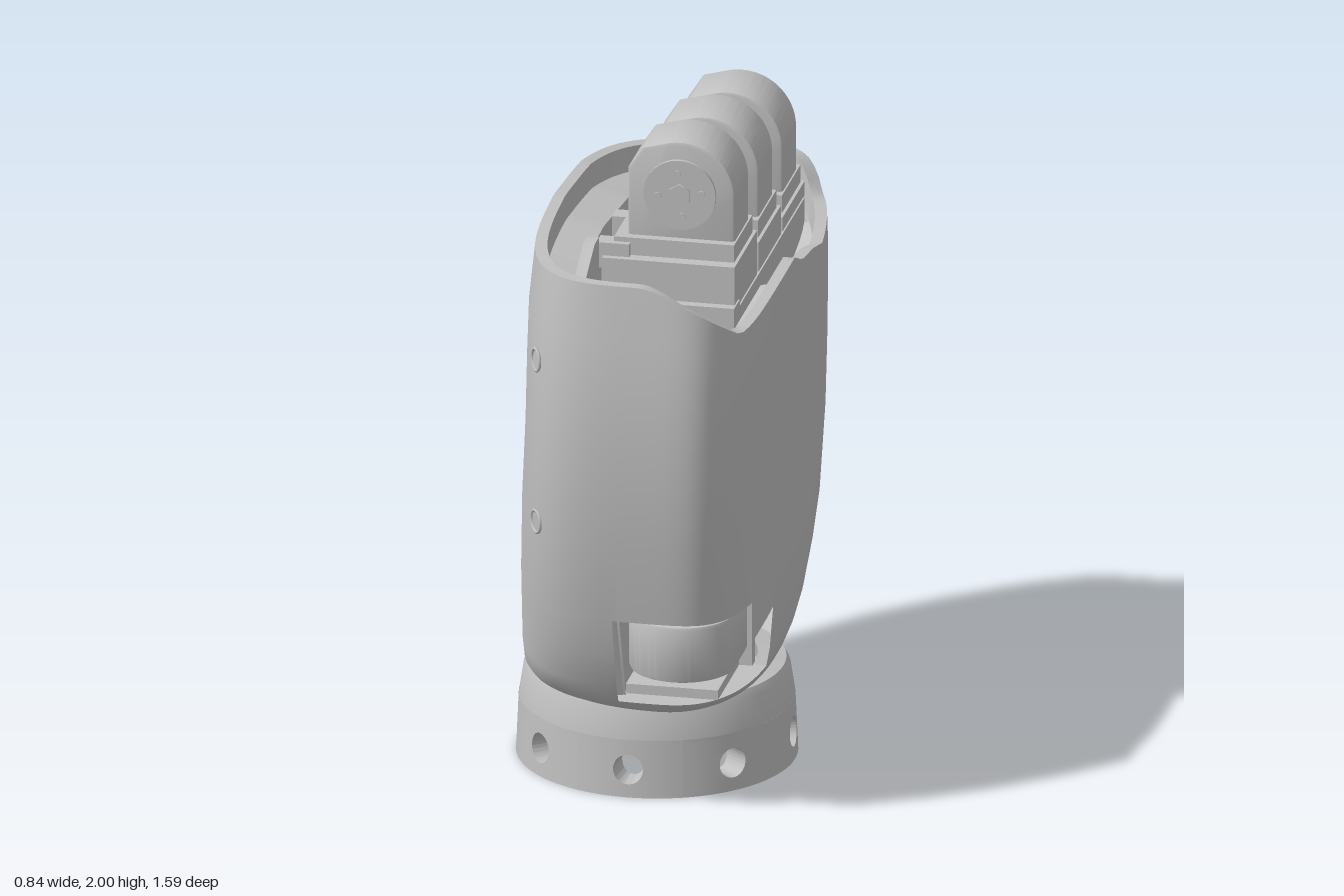
import * as THREE from 'three';
import { toCreasedNormals } from 'three/addons/utils/BufferGeometryUtils.js';

const COLS = 120;
const CUT = [6, 34]; // columns of the thumb opening
const grey = new THREE.MeshStandardMaterial({ color: 0xc0c0c0, side: THREE.DoubleSide });
grey.name = 'plain grey';

// y, zMin, zMax, xMin, xMax, roundness of back, roundness of palm
const SECTIONS = [
  [0.28, -0.33, 0.44, -0.30, 0.31, 2.0, 2.0],
  [0.30, -0.41, 0.53, -0.35, 0.345, 2.2, 2.2],
  [0.33, -0.465, 0.59, -0.37, 0.365, 2.4, 2.5],
  [0.36, -0.505, 0.625, -0.378, 0.375, 2.6, 2.8],
  [0.42, -0.56, 0.665, -0.384, 0.386, 2.9, 3.1],
  [0.54, -0.635, 0.71, -0.387, 0.395, 3.3, 3.6],
  [0.66, -0.69, 0.742, -0.386, 0.40, 3.6, 4.0],
  [0.90, -0.757, 0.78, -0.38, 0.40, 3.9, 4.4],
  [1.15, -0.788, 0.797, -0.365, 0.40, 4.0, 4.5],
  [1.40, -0.792, 0.79, -0.342, 0.40, 3.9, 4.5],
  [1.60, -0.778, 0.765, -0.325, 0.395, 3.7, 4.5],
  [1.80, -0.74, 0.735, -0.30, 0.38, 3.5, 4.5],
];

// Linear lookup in rows sorted by their first number
function lookup(table, t) {
  let i = 1;
  while (i < table.length - 1 && t > table[i][0]) i++;
  const a = table[i - 1], b = table[i];
  const k = THREE.MathUtils.clamp((t - a[0]) / (b[0] - a[0]), 0, 1);
  return a.map((v, j) => v + (b[j] - v) * k);
}

// Point on a rounded outline; the two halves have their own width and roundness
function outline(y, a, x0, zMin, zMax, xMin, xMax, nBack, nPalm) {
  const c = Math.cos(a), s = Math.sin(a), n = c < 0 ? nBack : nPalm;
  const r = 1 / Math.pow(Math.abs(c) ** n + Math.abs(s) ** n, 1 / n);
  const w = c < 0 ? x0 - xMin : xMax - x0;
  return [x0 + w * r * c, y, (zMin + zMax) / 2 + ((zMax - zMin) / 2) * r * s];
}

// Shell outline, with a soft bulge down the middle of the back
function outer(y, a, inset = 0) {
  const [, z0, z1, x0, x1, nb, np] = lookup(SECTIONS, y);
  const bulge = 0.055 * THREE.MathUtils.smoothstep(y, 0.28, 0.5) * (1 - THREE.MathUtils.smoothstep(y, 1.0, 1.75));
  const p = outline(y, a, 0.1, z0 + inset, z1 - inset, x0 + bulge + inset, x1 - inset, nb, np);
  if (p[0] < 0.1) {
    const across = (0.1 - p[0]) / (0.1 - x0 - bulge);
    p[0] -= bulge * across * Math.max(0, 1 - ((p[2] - 0.03) / 0.6) ** 2) ** 2;
  }
  return p;
}

function inner(y, a) {
  const [, z0, z1, , , , np] = lookup(SECTIONS, y);
  const n = Math.min(9, np * 2);
  return outline(y, a, 0.06, Math.max(-0.71, z0 + 0.07), Math.min(0.67, z1 - 0.06), -0.16, 0.29, 6, n);
}

// Height of the top rim: high on the back, low and stepped on the palm
const BACK = [[-0.78, 1.625], [-0.6, 1.66], [-0.3, 1.715], [0.1, 1.755], [0.4, 1.74], [0.75, 1.73]];
const PALM = [[-0.78, 1.63], [-0.7, 1.5], [-0.45, 1.45], [-0.3, 1.49], [-0.15, 1.51], [-0.05, 1.555],
  [0.3, 1.555], [0.6, 1.55], [0.75, 1.62]];
function rim(a) {
  const [x, , z] = outer(1.6, a);
  const k = THREE.MathUtils.smoothstep(x, 0.08, 0.39);
  return THREE.MathUtils.lerp(lookup(BACK, z)[1], lookup(PALM, z)[1], k);
}

// Closed skin over a stack of loops, leaving out some cells
function skin(rows, skip = () => false) {
  const pos = [], idx = [];
  rows.forEach(row => {
    for (let c = 0; c < COLS; c++) pos.push(...row((c / COLS) * Math.PI * 2));
  });
  for (let r = 0; r < rows.length - 1; r++) {
    for (let c = 0; c < COLS; c++) {
      if (skip(r, c)) continue;
      const d = (c + 1) % COLS, p = r * COLS, q = p + COLS;
      idx.push(p + c, q + c, p + d, q + c, q + d, p + d);
    }
  }
  const g = new THREE.BufferGeometry();
  g.setAttribute('position', new THREE.Float32BufferAttribute(pos, 3));
  g.setIndex(idx);
  return toCreasedNormals(g, 0.7);
}

function add(parent, name, geometry, x = 0, y = 0, z = 0) {
  const m = new THREE.Mesh(geometry, grey);
  m.name = name;
  m.position.set(x, y, z);
  parent.add(m);
  return m;
}

// Box given by its limits
function block(parent, name, x0, x1, y0, y1, z0, z1) {
  return add(parent, name, new THREE.BoxGeometry(x1 - x0, y1 - y0, z1 - z0),
    (x0 + x1) / 2, (y0 + y1) / 2, (z0 + z1) / 2);
}

function disc(parent, name, r, depth, x, y, z, sides = 32) {
  return add(parent, name, new THREE.CylinderGeometry(r, r, depth, sides).rotateX(Math.PI / 2), x, y, z);
}

function extrude(shape, depth, bevel) {
  return toCreasedNormals(new THREE.ExtrudeGeometry(shape, {
    depth, curveSegments: 24, bevelEnabled: bevel > 0, bevelSize: bevel, bevelThickness: bevel,
    bevelOffset: -bevel, bevelSegments: 2 }), 0.6);
}

// Upright plate across x, given by z, y corners
function sidePlate(parent, name, corners, x, depth) {
  const s = new THREE.Shape(corners.map(p => new THREE.Vector2(-p[0], p[1])));
  add(parent, name, extrude(s, depth, 0).rotateY(Math.PI / 2), x);
}

// Wrist ring: eight curved panels, each with a screw hole, and a collar above
function wrist() {
  const g = new THREE.Group();
  g.name = 'wristRing';
  const holeY = 0.087, holeR = 0.046, height = 0.18, half = Math.PI / 8;
  const corners = [[1, 0], [1, height], [-1, height], [-1, 0], [1, 0]];
  // Loop between the hole edge (k = 0) and the panel border (k = 1), on the outside or inside
  const loop = (turn, k, outside) => a => {
    const t = (a / Math.PI) * 2, i = Math.min(3, Math.floor(t)), f = t - i;
    const bx = THREE.MathUtils.lerp(corners[i][0], corners[i + 1][0], f) * half;
    const by = THREE.MathUtils.lerp(corners[i][1], corners[i + 1][1], f);
    const dir = Math.atan2(by - holeY, bx * 0.42);
    const ang = THREE.MathUtils.lerp((holeR / 0.42) * Math.cos(dir), bx, k) + turn;
    const y = THREE.MathUtils.lerp(holeY + holeR * Math.sin(dir), by, k);
    const r = outside ? 0.42 - 0.045 * y : 0.33;
    return [Math.sin(ang) * r, y, Math.cos(ang) * r];
  };
  for (let i = 0; i < 8; i++) {
    const turn = i * Math.PI / 4;
    const ks = [1, 0.75, 0.5, 0.25, 0];
    const rows = ks.map(k => loop(turn, k, true)).concat(ks.reverse().map(k => loop(turn, k, false)));
    add(g, 'wristPanel', skin(rows));
  }
  add(g, 'wristUnderside', new THREE.RingGeometry(0.33, 0.42, 64).rotateX(Math.PI / 2));
  const profile = [[0, 0.22], [0.33, 0.22], [0.33, 0.18], [0.412, 0.18], [0.398, 0.27], [0.385, 0.295], [0.3, 0.31]];
  add(g, 'wristCollar', toCreasedNormals(
    new THREE.LatheGeometry(profile.map(p => new THREE.Vector2(...p)), 64), 0.5));
  g.position.z = 0.06;
  return g;
}

// Finger joint: arched motor housing on a stepped foot
function finger() {
  const g = new THREE.Group();
  g.name = 'fingerJoint';
  const s = new THREE.Shape();
  s.moveTo(-0.16, -0.22);
  s.lineTo(0.165, -0.22);
  s.lineTo(0.165, 0);
  s.absarc(0, 0, 0.165, 0, Math.PI * 0.6, false);
  s.lineTo(-0.115, 0.14);
  s.lineTo(-0.16, 0.07);
  add(g, 'fingerHousing', extrude(s, 0.182, 0.01), 0.105, 1.835, 0.03);
  disc(g, 'fingerFlange', 0.11, 0.015, 0.105, 1.835, 0.226);
  disc(g, 'fingerNut', 0.036, 0.012, 0.105, 1.835, 0.235, 6);
  for (let i = 0; i < 4; i++) {
    const a = i * Math.PI / 2 + 0.1;
    disc(g, 'fingerScrew', 0.012, 0.008, 0.105 + 0.067 * Math.cos(a), 1.835 + 0.067 * Math.sin(a), 0.234, 12);
  }
  disc(g, 'fingerBackPlate', 0.085, 0.01, 0.105, 1.835, 0.016);
  disc(g, 'fingerPin', 0.034, 0.03, 0.105, 1.835, 0.005, 16);
  block(g, 'fingerFoot', -0.09, 0.275, 1.58, 1.695, -0.01, 0.25);
  block(g, 'fingerStep', -0.12, 0.285, 1.3, 1.64, -0.03, 0.29);
  for (const z of [0.02, 0.24]) block(g, 'fingerClip', -0.14, -0.04, 1.6, 1.68, z - 0.03, z + 0.03);
  return g;
}

export function createModel() {
  const hand = new THREE.Group();
  hand.name = 'roboticPalm';
  hand.add(wrist());

  // Outer shell with the thumb opening
  const ys = SECTIONS.map(s => s[0]).filter(y => y <= 1.4);
  const r0 = ys.indexOf(0.36), r1 = ys.indexOf(0.66);
  const inCut = c => c >= CUT[0] && c < CUT[1];
  const rows = ys.map(y => a => outer(y, a));
  rows.push(a => outer((1.4 + rim(a)) / 2, a), a => outer(rim(a), a));
  rows.push(a => outer(rim(a), a, 0.035));
  rows.push(a => outer(rim(a) - 0.08, a, 0.045));
  const ledge = a => { const p = inner(1.5, a); p[1] = rim(a) - 0.1; return p; };
  rows.push(ledge);
  add(hand, 'palmShell', skin(rows, (r, c) => r >= r0 && r < r1 && inCut(c)));

  // Inner cavity walls and floor
  const walls = [0.36, 0.66, 1.0].map(y => a => inner(y, a));
  walls.unshift(() => [0.06, 0.36, 0.06]);
  walls.push(ledge);
  add(hand, 'cavityWall', skin(walls, (r, c) => r === 1 && inCut(c)));

  // Lips joining shell and cavity above and below the thumb opening
  for (const y of [0.36, 0.66]) {
    add(hand, 'thumbOpeningLip', skin([a => outer(y, a), a => inner(y, a)], (r, c) => !inCut(c)));
  }
  sidePlate(hand, 'thumbSideWall', [[0.25, 0.36], [0.57, 0.36], [0.69, 0.66], [0.25, 0.66]], -0.015, 0.02);
  block(hand, 'thumbBackWall', -0.16, 0.33, 0.36, 0.68, 0.21, 0.25);
  block(hand, 'thumbCeiling', 0.01, 0.29, 0.66, 0.7, 0.3, 0.68);
  block(hand, 'cavityPartition', -0.16, 0.29, 0.66, 1.52, 0.24, 0.32);

  // Thumb motor, lying with its axis upright
  const d = new THREE.Shape();
  d.moveTo(-0.16, 0.16);
  d.lineTo(-0.16, 0);
  d.absarc(0, 0, 0.16, Math.PI, Math.PI * 2, false);
  d.lineTo(0.16, 0.16);
  // Flip so the round end faces the front
  add(hand, 'thumbMotor', extrude(d, 0.156, 0.012).rotateX(-Math.PI / 2), 0.16, 0.432, 0.44);
  add(hand, 'thumbFlange', new THREE.CylinderGeometry(0.11, 0.11, 0.02, 32), 0.16, 0.61, 0.44);
  block(hand, 'thumbBasePlate', 0.01, 0.29, 0.36, 0.39, 0.24, 0.55);
  for (const y of [0.41, 0.6]) block(hand, 'thumbBracket', 0.01, 0.3, y - 0.012, y + 0.012, 0.24, 0.36);

  // Finger deck and the three joints, each lower than the one before
  block(hand, 'fingerDeck', -0.14, 0.29, 1.25, 1.5, -0.68, 0.32);
  for (let i = 0; i < 3; i++) {
    const f = finger();
    f.position.set(0, -0.048 * i, -0.34 * i);
    hand.add(f);
  }

  // Sloped rib inside the back wall
  sidePlate(hand, 'cavityRib', [[0.28, 1.4], [0.62, 1.4], [0.62, 1.56], [0.34, 1.7], [0.28, 1.7]], -0.165, 0.035);

  // Screw seats around the shell
  for (const [y, deg] of [[1.45, 133], [0.94, 132], [1.52, 230], [0.46, 230]]) {
    const a = THREE.MathUtils.degToRad(deg);
    const p = new THREE.Vector3(...outer(y, a));
    const t = new THREE.Vector3(...outer(y, a + 0.03)).sub(p);
    const seat = add(hand, 'screwSeat', new THREE.TorusGeometry(0.034, 0.005, 8, 24), p.x, p.y, p.z);
    seat.lookAt(p.x + t.z, p.y, p.z - t.x);
  }
  return hand;
}
